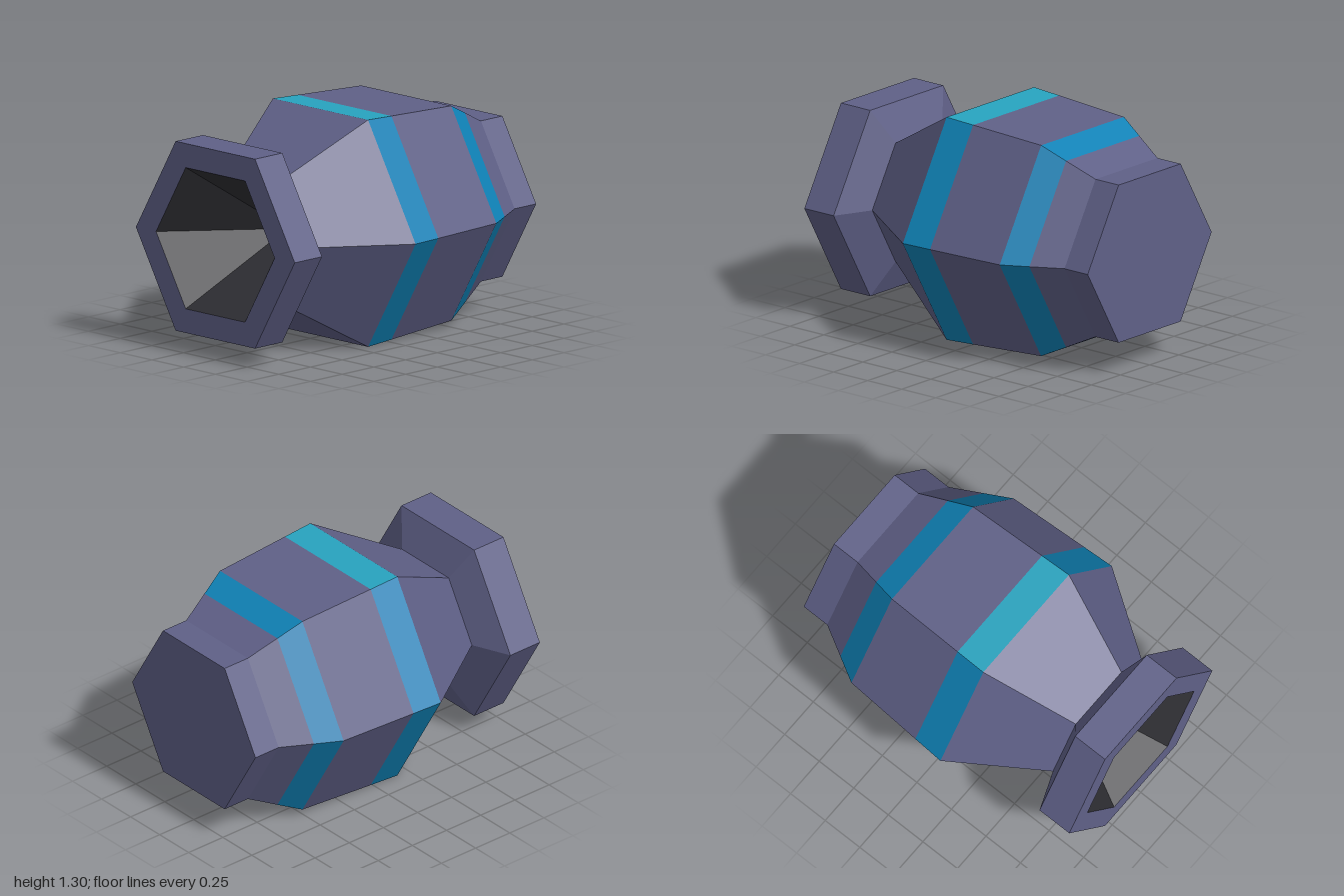
import * as THREE from 'three';

const material = (name, color) => {
  const m = new THREE.MeshStandardMaterial({ color });
  m.name = name;
  return m;
};

// Hexagonal skin through rings [z, radius, centre height], limited to the given sides.
// Side 1 is the top; corners lie at +x and -x.
function hexSkin(name, mat, rings, sides = [0, 1, 2, 3, 4, 5]) {
  const corner = ([z, r, cy], k) => {
    const a = (k * Math.PI) / 3;
    return [r * Math.cos(a), cy + r * Math.sin(a), z];
  };
  const points = [];
  for (let i = 0; i < rings.length - 1; i++) {
    const a = rings[i], b = rings[i + 1];
    for (const k of sides) {
      if (b[1] > 0) points.push(...corner(a, k), ...corner(b, k), ...corner(b, k + 1));
      if (a[1] > 0) points.push(...corner(a, k), ...corner(b, k + 1), ...corner(a, k + 1));
    }
  }
  const geo = new THREE.BufferGeometry();
  geo.setAttribute('position', new THREE.Float32BufferAttribute(points, 3));
  geo.computeVertexNormals(); // unshared corners give flat faces
  const mesh = new THREE.Mesh(geo, mat);
  mesh.name = name;
  return mesh;
}

export function createModel() {
  const hull = material('slate hull', 0x5f6087);
  const blue = material('blue stripe', 0x0f82b6);
  const teal = material('teal stripe', 0x27a3bf);
  const dark = material('dark nozzle', 0x2f2f34);

  const cy = 0.65, ringY = 0.659;
  // Shared cross-sections, front to back
  const apex = [0.43, 0, ringY];
  const mouth = [1, 0.467, ringY];
  const rim = [1, 0.626, ringY];
  const rimBack = [0.785, 0.626, ringY];
  const neck = [0.695, 0.4, 0.656];
  const shoulder = [0.17, 0.75, cy];
  const frontBandEnd = [-0.02, 0.739, cy];
  const rearShoulder = [-0.507, 0.71, cy + 0.001];
  const rearBandEnd = [-0.655, 0.628, cy + 0.001];
  const tail = [-0.83, 0.531, cy + 0.002];
  const back = [-1, 0.531, cy + 0.002];
  const backCentre = [-1, 0, cy + 0.002];

  const group = new THREE.Group();
  group.name = 'thruster';
  group.add(
    hexSkin('nozzleInterior', dark, [apex, mouth]),
    hexSkin('nozzleRing', hull, [mouth, rim, rimBack, neck]),
    hexSkin('frontTaper', hull, [neck, shoulder]),
    // Front stripe, with its top side in a lighter colour
    hexSkin('frontStripe', blue, [shoulder, frontBandEnd], [0, 2, 3, 4, 5]),
    hexSkin('frontStripeTop', teal, [shoulder, frontBandEnd], [1]),
    hexSkin('mainBody', hull, [frontBandEnd, rearShoulder]),
    hexSkin('rearStripe', blue, [rearShoulder, rearBandEnd]),
    hexSkin('tailBlock', hull, [rearBandEnd, tail, back, backCentre]),
  );
  return group;
}
